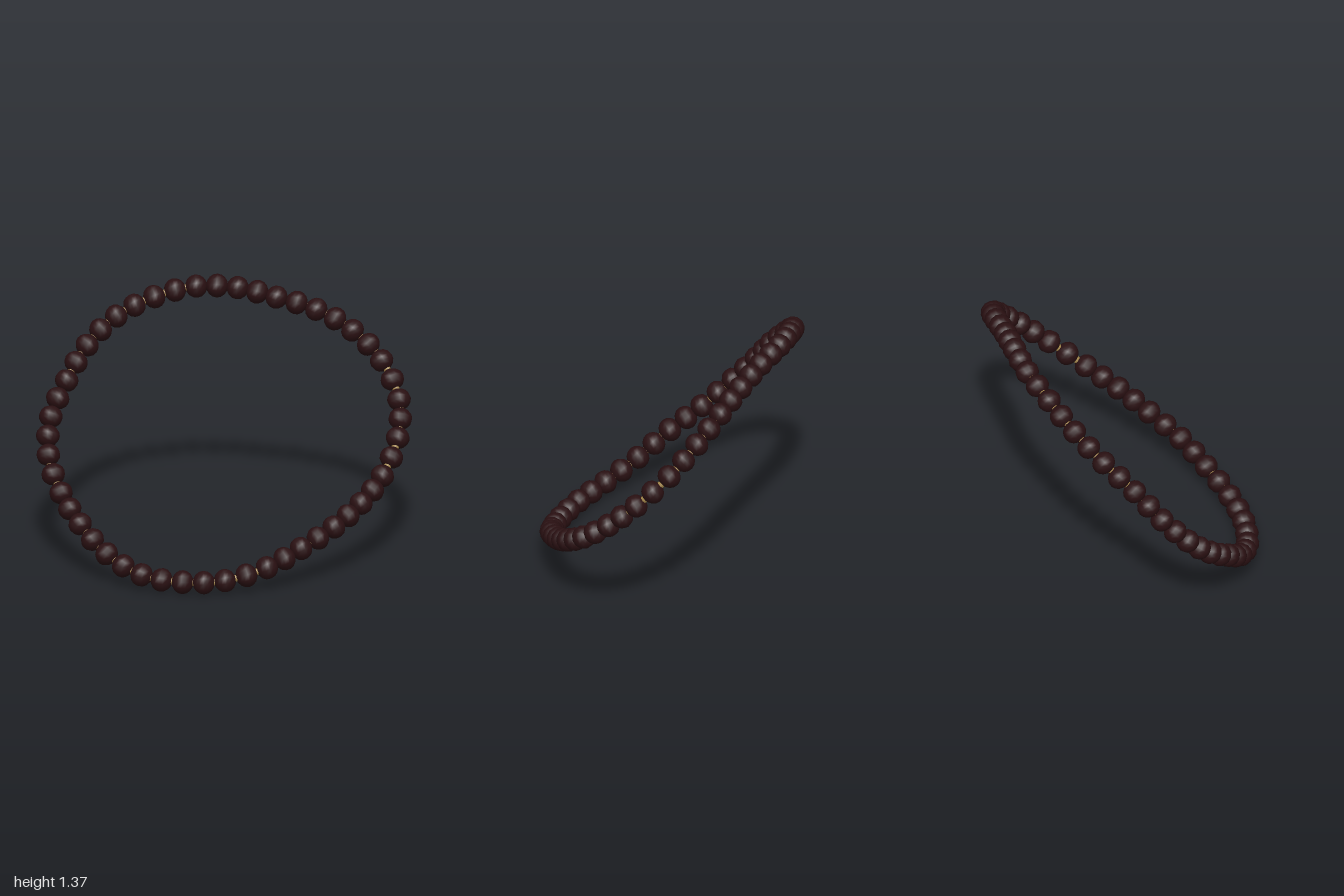
import * as THREE from 'three';

export function createModel() {
  const bracelet = new THREE.Group();
  bracelet.name = 'beadBracelet';

  const darkWood = new THREE.MeshStandardMaterial({ color: 0x2a1012 });
  darkWood.name = 'dark wood';
  const goldCord = new THREE.MeshStandardMaterial({ color: 0xa08448 });
  goldCord.name = 'gold cord';

  // Closed path of the cord; every second bead sits on one of these points
  const path = new THREE.CatmullRomCurve3([
    [-0.03, 0.08, 0.6], [0.195, 0.135, 0.56], [0.38, 0.215, 0.49], [0.56, 0.295, 0.385],
    [0.71, 0.385, 0.27], [0.83, 0.49, 0.135], [0.92, 0.64, -0.04], [0.935, 0.797, -0.205],
    [0.85, 0.963, -0.36], [0.7, 1.1, -0.46], [0.51, 1.2, -0.52], [0.3, 1.26, -0.555],
    [0.095, 1.305, -0.59], [-0.125, 1.31, -0.61], [-0.35, 1.265, -0.58], [-0.555, 1.18, -0.52],
    [-0.715, 1.055, -0.42], [-0.83, 0.905, -0.29], [-0.92, 0.745, -0.17], [-0.94, 0.58, -0.03],
    [-0.88, 0.42, 0.125], [-0.785, 0.295, 0.27], [-0.65, 0.17, 0.4], [-0.47, 0.09, 0.515],
    [-0.255, 0.07, 0.585],
  ].map((p) => new THREE.Vector3(...p)), true);

  // Cord running through all beads
  const cord = new THREE.Mesh(new THREE.TubeGeometry(path, 150, 0.02, 8, true), goldCord);
  cord.name = 'cord';
  bracelet.add(cord);

  // Slightly flattened beads, each with its hole axis along the cord
  const beadShape = new THREE.SphereGeometry(0.064, 12, 8).scale(1, 0.92, 1);
  const up = new THREE.Vector3(0, 1, 0);
  const beadCount = 50;
  for (let i = 0; i < beadCount; i++) {
    const t = i / beadCount;
    const bead = new THREE.Mesh(beadShape, darkWood);
    bead.name = `bead${i + 1}`;
    bead.position.copy(path.getPoint(t));
    bead.quaternion.setFromUnitVectors(up, path.getTangent(t));
    bead.rotateY(i * 2.4);
    bracelet.add(bead);
  }
  return bracelet;
}
